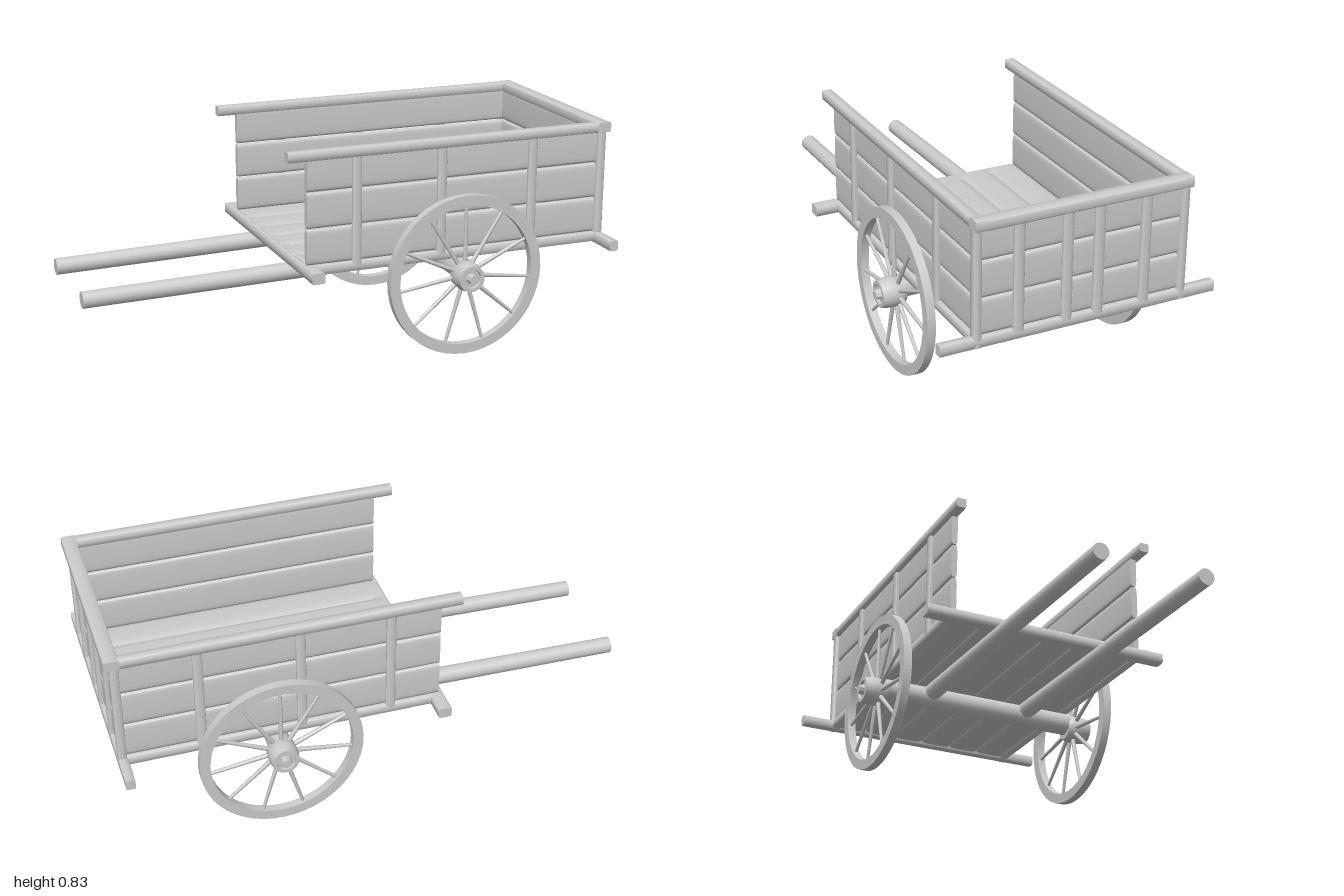
import * as THREE from 'three';
import { toCreasedNormals } from 'three/addons/utils/BufferGeometryUtils.js';

const material = new THREE.MeshStandardMaterial({ color: 0xcccccc });

function add(parent, name, geometry, x = 0, y = 0, z = 0) {
  const mesh = new THREE.Mesh(geometry, material);
  mesh.name = name;
  mesh.position.set(x, y, z);
  parent.add(mesh);
  return mesh;
}

// Timber with softly rounded cross-section; its length runs along the given axis.
// "round" is 1 for an ellipse, and goes to 0 for a square section.
function timber(parent, name, axis, [x0, x1], [y0, y1], [z0, z1], round = 0.45) {
  const size = { x: x1 - x0, y: y1 - y0, z: z1 - z0 };
  const g = new THREE.CylinderGeometry(1, 1, 1, 20, 1);
  const p = g.attributes.position;
  const soften = v => Math.sign(v) * Math.pow(Math.abs(v), round);
  for (let i = 0; i < p.count; i++) {
    p.setXYZ(i, soften(p.getX(i)) / 2, p.getY(i), soften(p.getZ(i)) / 2);
  }
  if (axis === 'x') g.rotateZ(Math.PI / 2);
  if (axis === 'z') g.rotateX(Math.PI / 2);
  g.scale(size.x, size.y, size.z);
  return add(parent, name, toCreasedNormals(g, 0.9), (x0 + x1) / 2, (y0 + y1) / 2, (z0 + z1) / 2);
}

// Same timber on the left or right side of the cart
const mirrorZ = (s, a, b) => (s > 0 ? [a, b] : [-b, -a]);

function makeWheel() {
  const wheel = new THREE.Group();
  wheel.name = 'wheel';
  const ring = [[0.268, -0.016], [0.307, -0.016], [0.307, 0.016], [0.268, 0.016], [0.268, -0.016]];
  const rim = new THREE.LatheGeometry(ring.map(([r, h]) => new THREE.Vector2(r, h)), 48);
  rim.rotateX(Math.PI / 2);
  add(wheel, 'rim', toCreasedNormals(rim, 0.6));

  const hubProfile = [[0, -0.03], [0.045, -0.03], [0.055, -0.01], [0.056, 0.03], [0.05, 0.064],
    [0.036, 0.064], [0.034, 0.054], [0, 0.054]];
  const hub = new THREE.LatheGeometry(hubProfile.map(([r, h]) => new THREE.Vector2(r, h)), 24);
  hub.rotateX(Math.PI / 2);
  add(wheel, 'hub', toCreasedNormals(hub, 0.6));

  const nut = new THREE.CylinderGeometry(0.018, 0.022, 0.03, 8);
  nut.rotateX(Math.PI / 2);
  add(wheel, 'axleNut', toCreasedNormals(nut, 0.6), 0, 0, 0.063);

  const spokes = 11;
  for (let i = 0; i < spokes; i++) {
    const spoke = new THREE.CylinderGeometry(0.006, 0.009, 0.235, 8);
    spoke.translate(0, 0.16, 0);
    add(wheel, 'spoke', spoke).rotation.z = (i / spokes) * Math.PI * 2;
  }
  return wheel;
}

export function createModel() {
  const cart = new THREE.Group();
  cart.name = 'handCart';

  // Floor planks
  for (let i = 0; i < 6; i++) {
    const z = -0.385 + i * 0.1283;
    timber(cart, 'floorPlank', 'x', [-0.22, 0.955], [0.374, 0.408], [z, z + 0.128]);
  }

  // Cross bars under both ends
  timber(cart, 'openEndCrossBar', 'z', [-0.237, -0.187], [0.365, 0.406], [-0.49, 0.49], 0.3);
  timber(cart, 'closedEndCrossBar', 'z', [0.945, 0.98], [0.364, 0.404], [-0.53, 0.53], 0.3);

  // Sides: sill, planks, posts and top rail
  const rows = [[0.405, 0.538], [0.541, 0.674], [0.677, 0.81]];
  for (const s of [1, -1]) {
    const side = new THREE.Group();
    side.name = s > 0 ? 'nearSide' : 'farSide';
    cart.add(side);
    timber(side, 'sill', 'x', [-0.225, 0.97], [0.368, 0.405], mirrorZ(s, 0.372, 0.405), 0.3);
    for (const row of rows) {
      timber(side, 'sidePlank', 'x', [-0.22, 0.95], row, mirrorZ(s, 0.37, 0.394));
    }
    for (const x of [-0.03, 0.305, 0.675]) {
      timber(side, 'sidePost', 'y', [x - 0.018, x + 0.018], [0.39, 0.81], mirrorZ(s, 0.388, 0.406));
    }
    timber(side, 'cornerPost', 'y', [0.948, 0.98], [0.365, 0.81], mirrorZ(s, 0.378, 0.408), 0.3);
    timber(side, 'topRail', 'x', [-0.295, 0.997], [0.794, 0.831], mirrorZ(s, 0.37, 0.409), 0.25);

    // Half of the closed end
    for (const row of rows) {
      timber(side, 'endPlank', 'z', [0.945, 0.969], row, mirrorZ(s, 0, 0.38));
    }
    for (const z of [0.06, 0.241]) {
      timber(side, 'endPost', 'y', [0.962, 0.981], [0.39, 0.81], mirrorZ(s, z - 0.02, z + 0.02));
    }

    // Wheel
    const wheel = makeWheel();
    wheel.position.set(0.393, 0.31, s * 0.427);
    if (s < 0) wheel.scale.z = -1;
    side.add(wheel);

    // Handle shaft, rising gently to meet the axle
    const path = new THREE.LineCurve3(new THREE.Vector3(-1, 0.315, s * 0.203), new THREE.Vector3(0.4, 0.342, s * 0.206));
    const length = path.getLength();
    const shaft = new THREE.CylinderGeometry(0.034, 0.031, length, 16);
    const mesh = add(side, 'handleShaft', shaft);
    mesh.position.copy(path.getPoint(0.5));
    mesh.quaternion.setFromUnitVectors(new THREE.Vector3(0, 1, 0), path.getTangent(0));
  }
  timber(cart, 'endTopRail', 'z', [0.944, 0.998], [0.794, 0.832], [-0.409, 0.409], 0.25);

  // Axle
  const axle = new THREE.CylinderGeometry(0.043, 0.043, 0.86, 24);
  axle.rotateX(Math.PI / 2);
  add(cart, 'axle', axle, 0.393, 0.326, 0);

  return cart;
}
